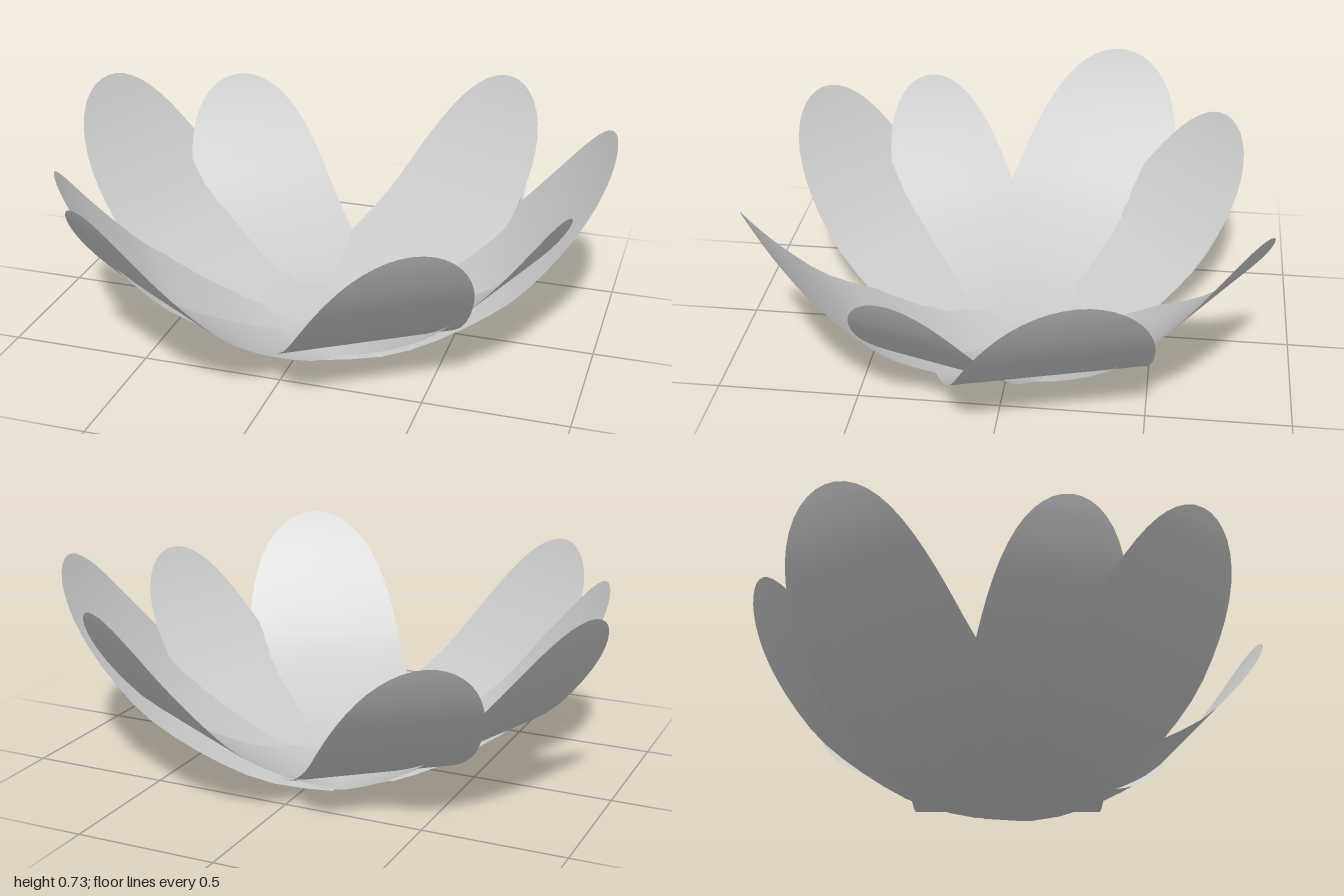
import * as THREE from 'three';

// Lengthwise bend of a petal: radius outward, height
const bend = new THREE.SplineCurve([
  [0, 0.0], [0.15, 0.008], [0.26, 0.029], [0.38, 0.076], [0.52, 0.15],
  [0.65, 0.24], [0.775, 0.372], [0.875, 0.5], [0.948, 0.615], [0.99, 0.695],
].map(([r, y]) => new THREE.Vector2(r, y)));

// Blade that is straight across, cut square at the base, blunt and round at the tip
function petalGeometry(reach, height, halfWidth) {
  const geo = new THREE.PlaneGeometry(2, 1, 6, 20);
  const pos = geo.attributes.position;
  for (let i = 0; i < pos.count; i++) {
    const t = Math.min(1, Math.sin((pos.getY(i) + 0.5) * Math.PI / 2));
    const p = bend.getPointAt(t);
    const w = halfWidth * Math.sqrt(Math.max(1 - t ** 4.8, 1e-6));
    pos.setXYZ(i, pos.getX(i) * w, p.y * height / 0.695, -p.x * reach / 0.99);
  }
  geo.computeVertexNormals();
  return geo;
}

// Direction in degrees from +x towards +z, tip reach, tip height, half width
const petals = [
  [-59, 0.985, 0.695, 0.31],
  [-16.5, 1.03, 0.722, 0.342],
  [18.2, 0.95, 0.625, 0.267],
  [57.2, 0.99, 0.69, 0.313],
  [123.7, 0.995, 0.69, 0.302],
  [151, 0.945, 0.635, 0.257],
  [198.3, 1.03, 0.715, 0.338],
  [231, 0.945, 0.635, 0.295],
];

export function createModel() {
  const flower = new THREE.Group();
  flower.name = 'flower';
  const material = new THREE.MeshStandardMaterial({ color: 0xcccccc, side: THREE.DoubleSide });
  petals.forEach(([deg, reach, height, halfWidth], i) => {
    const petal = new THREE.Mesh(petalGeometry(reach, height, halfWidth), material);
    petal.name = `petal${i + 1}`;
    petal.rotation.y = -THREE.MathUtils.degToRad(deg + 90);
    // Slight stagger so the overlapping bases do not coincide
    petal.position.y = ((i * 3 + 5) % 8) * 0.002;
    flower.add(petal);
  });
  return flower;
}
